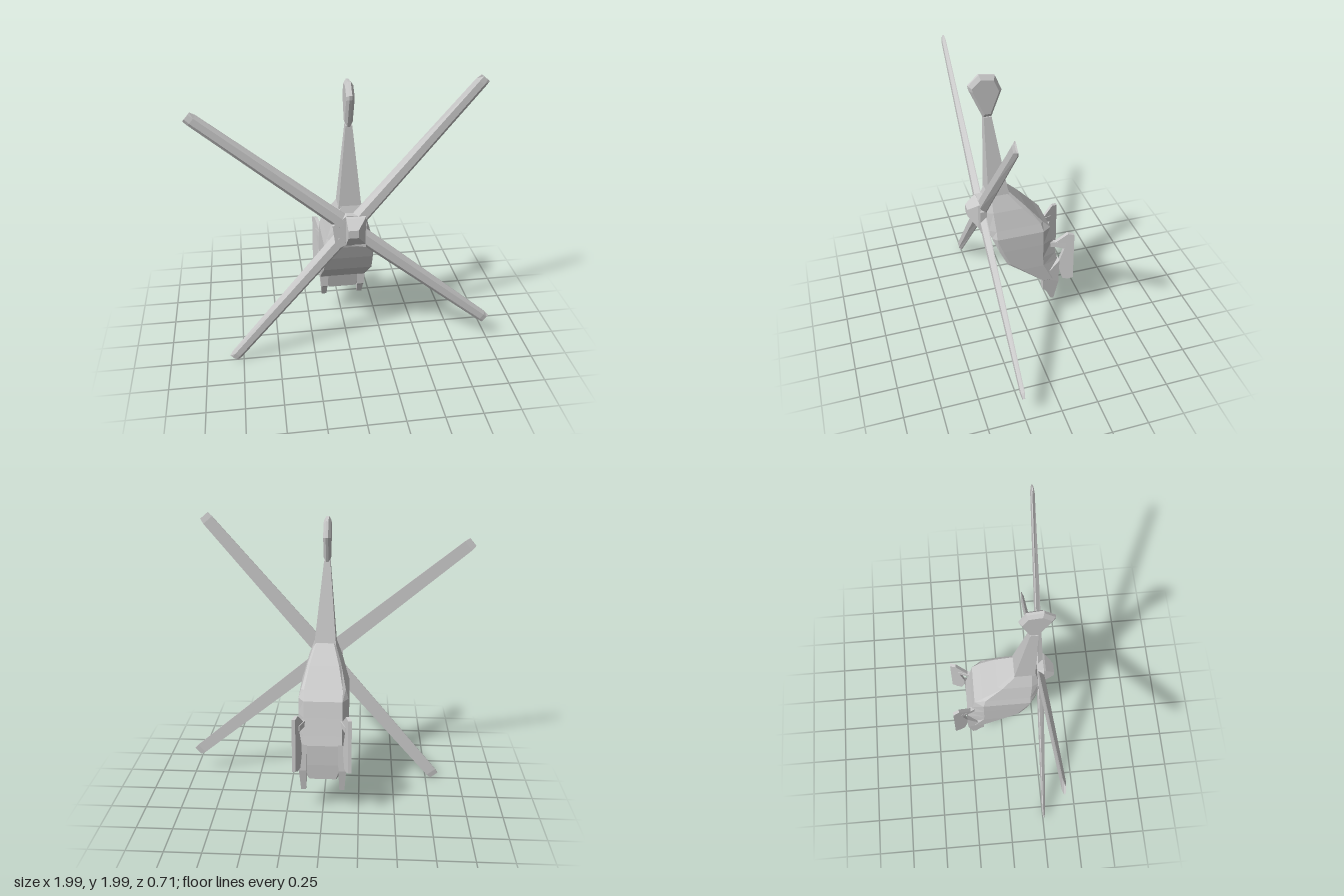
import * as THREE from 'three';

const grey = new THREE.MeshStandardMaterial({ color: 0xcccccc, flatShading: true, side: THREE.DoubleSide });

// Joins equal-length rings of [x, y, z] corners into a closed faceted solid.
function loft(name, rings) {
  const n = rings[0].length;
  const tris = [];
  for (let r = 0; r < rings.length - 1; r++) {
    for (let i = 0; i < n; i++) {
      const j = (i + 1) % n;
      const [a, b, c, d] = [rings[r][i], rings[r][j], rings[r + 1][j], rings[r + 1][i]];
      tris.push([a, b, c], [a, c, d]);
    }
  }
  const last = rings[rings.length - 1];
  for (let i = 1; i < n - 1; i++) {
    tris.push([rings[0][0], rings[0][i + 1], rings[0][i]], [last[0], last[i], last[i + 1]]);
  }
  // Turn the faces outward whichever way the rings were listed.
  let volume = 0;
  for (const [a, b, c] of tris) {
    volume += new THREE.Vector3(...a).dot(new THREE.Vector3(...b).cross(new THREE.Vector3(...c)));
  }
  if (volume < 0) tris.forEach((t) => t.reverse());
  const geo = new THREE.BufferGeometry();
  geo.setAttribute('position', new THREE.Float32BufferAttribute(tris.flat(2), 3));
  geo.computeVertexNormals();
  const mesh = new THREE.Mesh(geo, grey);
  mesh.name = name;
  return mesh;
}

// Rectangular ring at height y.
const rect = (y, x0, x1, z0, z1) => [[x0, y, z0], [x1, y, z0], [x1, y, z1], [x0, y, z1]];

function makeBody() {
  // y, front z, front half width, side front z, half width, side back z, back z, back half width
  const sections = [
    [0.265, -0.17, 0.09, -0.175, 0.10, -0.22, -0.24, 0.09],
    [0.38, -0.14, 0.16, -0.145, 0.165, -0.21, -0.25, 0.13],
    [0.53, 0.035, 0.165, 0.02, 0.17, -0.14, -0.255, 0.13],
    [0.60, 0.12, 0.165, 0.10, 0.17, -0.135, -0.24, 0.13],
    [0.72, 0.175, 0.16, 0.15, 0.17, -0.135, -0.215, 0.13],
    [0.83, 0.22, 0.135, 0.19, 0.168, -0.135, -0.195, 0.13],
    [0.89, 0.235, 0.12, 0.19, 0.15, -0.12, -0.14, 0.13],
    [1.02, 0.25, 0.09, 0.20, 0.115, 0.00, -0.03, 0.10],
    [1.14, 0.22, 0.06, 0.20, 0.07, 0.10, 0.08, 0.06],
  ];
  return loft('body', sections.map(([y, zf, wf, zs, w, zk, zb, wb]) => [
    [wf, y, zf], [w, y, zs], [w, y, zk], [wb, y, zb],
    [-wb, y, zb], [-w, y, zk], [-w, y, zs], [-wf, y, zf],
  ]));
}

function makeTailFin() {
  // Outline in z, y; thickest in the middle plane
  const outline = [[0.22, 1.68], [0.17, 1.68], [0.10, 1.86], [0.14, 1.96], [0.24, 1.975], [0.31, 1.91], [0.305, 1.88]];
  const ring = (x, s) => outline.map(([z, y]) => [x, 1.84 + (y - 1.84) * s, 0.2 + (z - 0.2) * s]);
  return loft('tailFin', [ring(-0.035, 0.8), ring(-0.018, 1), ring(-0.002, 1), ring(0.015, 0.8)]);
}

function makeRotor() {
  const rotor = new THREE.Group();
  rotor.name = 'rotor';
  rotor.position.y = 0.995;
  // Blades: r, half width, back z, front z
  const stations = [[0.07, 0.054, 0.243, 0.285], [0.65, 0.047, 0.245, 0.277], [1.23, 0.04, 0.246, 0.268], [1.268, 0.034, 0.252, 0.262]];
  for (let i = 0; i < 4; i++) {
    const blade = loft('blade', stations.map(([r, w, zb, zf]) => [
      [r, -w, zb], [r, w, zb], [r, w, zb + 0.006], [r, w * 0.5, zf], [r, -w * 0.5, zf], [r, -w, zb + 0.006],
    ]));
    blade.rotation.z = THREE.MathUtils.degToRad(50 + 90 * i);
    rotor.add(blade);
  }
  // Hub plate where the blade roots meet
  const plate = [[-0.12, 0.035], [-0.03, 0.105], [0.04, 0.10], [0.10, 0.04], [0.095, -0.135], [-0.03, -0.105], [-0.1, -0.14]];
  rotor.add(loft('hubPlate', [0.24, 0.284].map((z) => plate.map(([x, y]) => [x, y, z]))));
  // Off-centre faceted cap
  const cap = (x0, x1, y0, y1, z) => [[x0, y0, z], [x1, y0, z], [x1, y1, z], [x0, y1, z]];
  rotor.add(loft('hubCap', [
    cap(-0.035, 0.095, -0.115, 0.10, 0.28),
    cap(-0.035, 0.088, -0.095, 0.09, 0.298),
    cap(-0.03, 0.037, -0.02, 0.035, 0.357),
  ]));
  const mast = new THREE.Mesh(new THREE.CylinderGeometry(0.04, 0.05, 0.08, 8), grey);
  mast.name = 'mast';
  mast.rotation.x = Math.PI / 2;
  mast.position.z = 0.23;
  rotor.add(mast);
  return rotor;
}

function makeLeg(s) {
  // Outline in z, y, extended into the body; tapers toward the tip
  const outline = [[-0.14, 0.40], [-0.145, 0.29], [-0.17, 0.265], [-0.205, 0.185], [-0.23, 0.175], [-0.26, 0.34], [-0.26, 0.54]];
  const ring = (top, tip) => outline.map(([z, y]) => {
    const t = THREE.MathUtils.clamp((0.4 - y) / 0.22, 0, 1);
    return [s * THREE.MathUtils.lerp(top, tip, t), y, z];
  });
  return loft(s > 0 ? 'leftLeg' : 'rightLeg', [ring(0.105, 0.115), ring(0.165, 0.15)]);
}

function makeSidePlate(s) {
  const group = new THREE.Group();
  group.name = s > 0 ? 'leftSidePlate' : 'rightSidePlate';
  // Notched plate, leaning outward as it runs back
  const outline = [[0.22, 0.69], [0.31, 0.78], [0.35, 0.77], [0.355, 0.385], [0.32, 0.37], [0.285, 0.375], [0.25, 0.5], [0.29, 0.65], [0.23, 0.66]];
  const shape = new THREE.Shape(outline.map(([u, y]) => new THREE.Vector2(u, y)));
  const geo = new THREE.ExtrudeGeometry(shape, { depth: 0.024, bevelEnabled: false });
  const p = geo.attributes.position;
  for (let i = 0; i < p.count; i++) {
    const u = p.getX(i);
    p.setXYZ(i, s * (0.13 + (u - 0.2) * 0.36) + p.getZ(i) - 0.012, p.getY(i), -u);
  }
  geo.computeVertexNormals();
  const plate = new THREE.Mesh(geo, grey);
  plate.name = 'plate';
  group.add(plate);
  // Strut to the body
  group.add(loft('strut', [[0.115, -0.17], [0.165, -0.3]].map(([x, z]) =>
    [[-0.015, 0.66], [0.015, 0.66], [0.015, 0.7], [-0.015, 0.7]].map(([dx, y]) => [s * x + dx, y, z]))));
  return group;
}

export function createModel() {
  const model = new THREE.Group();
  model.name = 'helicopter';
  model.add(makeBody());
  model.add(loft('tailBoom', [rect(1.12, -0.075, 0.075, 0.08, 0.22), rect(1.69, -0.03, 0.012, 0.17, 0.22)]));
  model.add(makeTailFin(), makeRotor());
  for (const s of [1, -1]) model.add(makeLeg(s), makeSidePlate(s));
  return model;
}
